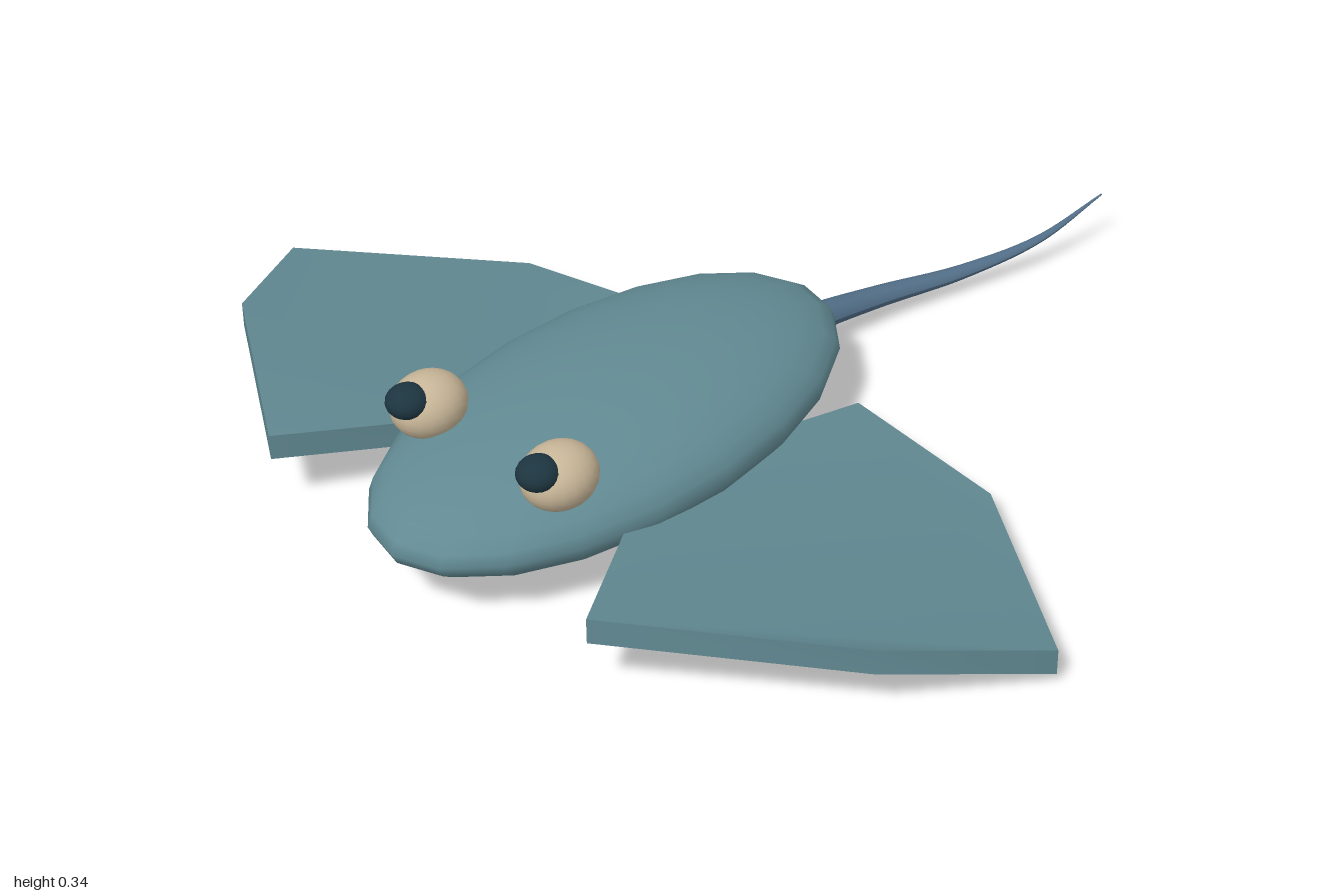
import * as THREE from 'three';
import { toCreasedNormals } from 'three/addons/utils/BufferGeometryUtils.js';

const mat = (color) => new THREE.MeshStandardMaterial({ color });
const skin = mat(0x628a93), tailSkin = mat(0x526f88), cream = mat(0xc8b698), dark = mat(0x1d3540);

function ellipsoid(name, material, center, radii, w = 20, h = 14) {
  const geo = new THREE.SphereGeometry(1, w, h).scale(...radii);
  const mesh = new THREE.Mesh(geo, material);
  mesh.position.set(...center);
  mesh.name = name;
  return mesh;
}

// Wing outline: x, z and the height of the lower face at each corner
const WING = [
  [0.41, 0.87, 0.128], [0.82, 0.58, 0.103], [1.0, 0.29, 0.022], [0.61, -0.02, 0.0],
  [0.245, -0.068, 0.015], [0.165, 0.3, 0.055], [0.2, 0.51, 0.085],
];
const WING_THICKNESS = 0.053;

function wing(name, side) {
  const shape = new THREE.Shape(WING.map(([x, z]) => new THREE.Vector2(x * side, -z)));
  const geo = new THREE.ExtrudeGeometry(shape, { depth: WING_THICKNESS, bevelEnabled: false });
  geo.rotateX(-Math.PI / 2);
  const p = geo.attributes.position;
  // bend the flat slab by lifting each corner to its height
  for (let i = 0; i < p.count; i++) {
    const x = p.getX(i), z = p.getZ(i);
    const corner = WING.find((c) => Math.hypot(c[0] * side - x, c[1] - z) < 1e-4);
    p.setY(i, p.getY(i) + corner[2]);
  }
  const mesh = new THREE.Mesh(toCreasedNormals(geo, 0.7), skin);
  mesh.name = name;
  return mesh;
}

// Tail: a tube tapered towards its tip
function tail() {
  const path = new THREE.CatmullRomCurve3([
    [-0.005, 0.096, -0.06], [-0.005, 0.083, -0.2], [0.022, 0.057, -0.4],
    [0.085, 0.048, -0.6], [0.148, 0.07, -0.78], [0.183, 0.117, -0.95],
  ].map((v) => new THREE.Vector3(...v)));
  const rings = 32, sides = 12;
  const geo = new THREE.TubeGeometry(path, rings, 0.042, sides);
  const p = geo.attributes.position, v = new THREE.Vector3();
  for (let i = 0; i < p.count; i++) {
    const t = Math.floor(i / (sides + 1)) / rings;
    const c = path.getPointAt(t);
    const k = 1 - 0.95 * t;
    v.fromBufferAttribute(p, i).sub(c).multiply(new THREE.Vector3(k, k * 0.8, k)).add(c);
    p.setXYZ(i, v.x, v.y, v.z);
  }
  geo.computeVertexNormals();
  const group = new THREE.Group();
  group.name = 'tail';
  const tube = new THREE.Mesh(geo, tailSkin);
  tube.name = 'tailTube';
  // rounded root closing the open end
  group.add(tube, ellipsoid('tailRoot', tailSkin, [-0.005, 0.096, -0.06], [0.041, 0.033, 0.012], 12, 8));
  return group;
}

export function createModel() {
  const model = new THREE.Group();
  model.name = 'ray';
  model.add(ellipsoid('body', skin, [0, 0.154, 0.372], [0.3, 0.12, 0.573], 20, 16));
  model.add(tail());
  for (const [label, s] of [['left', 1], ['right', -1]]) {
    model.add(wing(label + 'Wing', s));
    model.add(ellipsoid(label + 'Eye', cream, [s * 0.168, 0.27, 0.683], [0.069, 0.062, 0.078]));
    model.add(ellipsoid(label + 'Pupil', dark, [s * 0.168, 0.303, 0.735], [0.041, 0.032, 0.042]));
  }
  return model;
}
